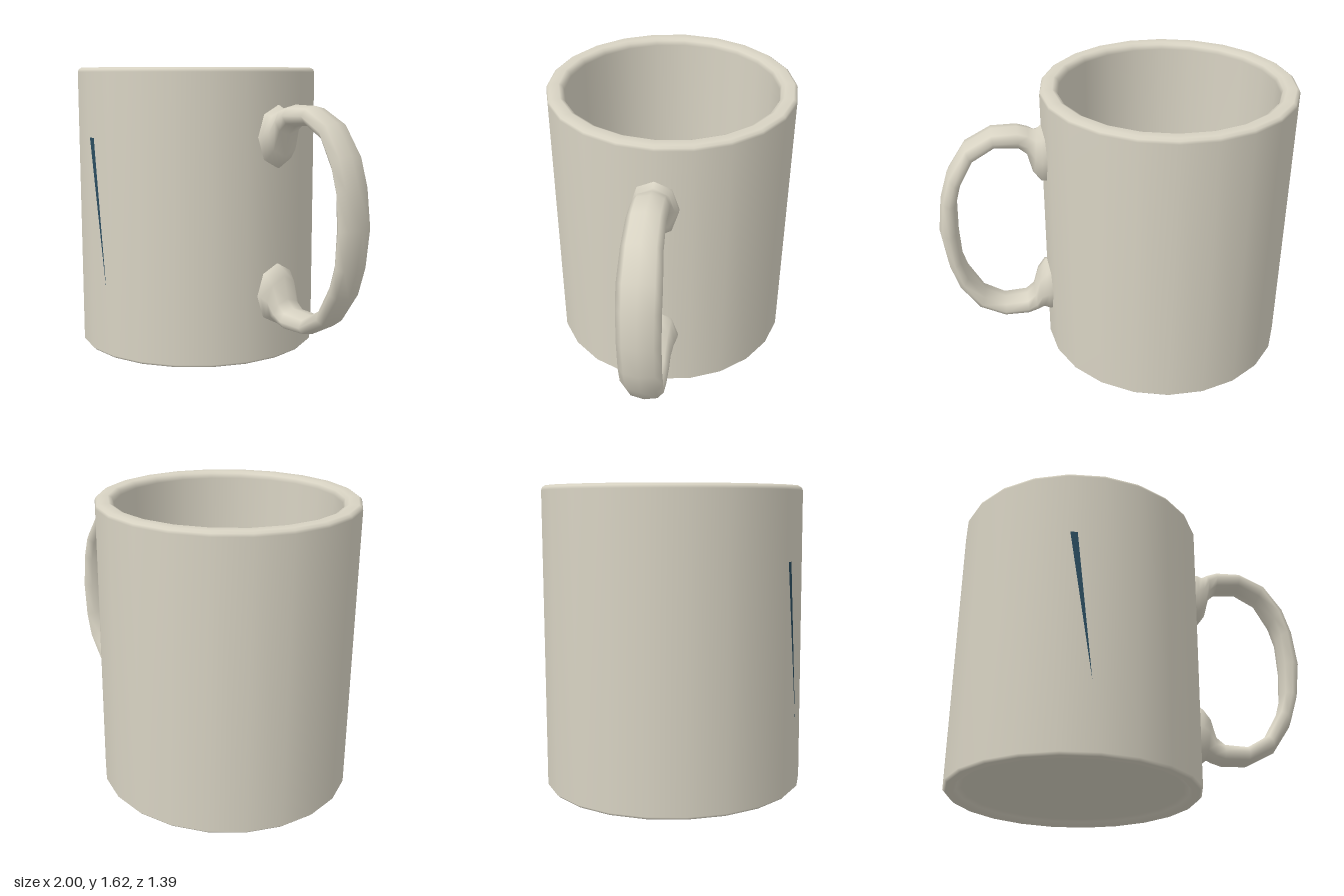
import * as THREE from 'three';

const SIDES = 22;
const CENTRE_X = -0.3;

// Sweeps an eight-sided oval ring through stations [outerX, outerY, innerX, innerY, halfWidth]
function sweepHandle(stations, sides = 8) {
  const positions = [];
  const index = [];
  stations.forEach(([ox, oy, ix, iy, w], i) => {
    for (let k = 0; k < sides; k++) {
      const a = (k / sides) * Math.PI * 2;
      const c = Math.cos(a) / 2;
      positions.push((ox + ix) / 2 + c * (ox - ix), (oy + iy) / 2 + c * (oy - iy), Math.sin(a) * w);
      if (i === stations.length - 1) continue;
      const p = i * sides + k;
      const q = i * sides + ((k + 1) % sides);
      index.push(p, q, p + sides, q, q + sides, p + sides);
    }
  });
  const geometry = new THREE.BufferGeometry();
  geometry.setAttribute('position', new THREE.Float32BufferAttribute(positions, 3));
  geometry.setIndex(index);
  geometry.computeVertexNormals();
  return geometry;
}

export function createModel() {
  const ceramic = new THREE.MeshStandardMaterial({ color: 0xd8d3c3 });
  ceramic.name = 'cream ceramic';
  const paint = new THREE.MeshStandardMaterial({ color: 0x2a4c5f });
  paint.name = 'dark blue paint';

  const model = new THREE.Group();
  model.name = 'mug';
  const add = (name, geometry, material) => {
    const mesh = new THREE.Mesh(geometry, material);
    mesh.name = name;
    model.add(mesh);
    return mesh;
  };

  // Hollow body: recessed underside, outer wall, rounded rim, inner wall, floor
  const profile = [
    [0, 0.03], [0.6, 0.03], [0.63, 0.02], [0.645, 0], [0.685, 0], [0.7, 0.015],
    [0.7, 1.59], [0.695, 1.605], [0.68, 1.615], [0.63, 1.615], [0.61, 1.605], [0.6, 1.58],
    [0.6, 0.14], [0.585, 0.11], [0.56, 0.1], [0, 0.1],
  ].map(([r, y]) => new THREE.Vector2(r, y));
  const body = add('body', new THREE.LatheGeometry(profile, SIDES, Math.PI / 2), ceramic);
  body.position.x = CENTRE_X;

  // Handle: flared root to the middle of the grip, then mirrored downwards
  const upper = [
    [0.36, 1.42, 0.36, 1.07, 0.13],
    [0.405, 1.415, 0.41, 1.075, 0.13],
    [0.43, 1.395, 0.455, 1.14, 0.115],
    [0.47, 1.405, 0.485, 1.26, 0.1],
    [0.53, 1.42, 0.53, 1.305, 0.1],
    [0.67, 1.417, 0.66, 1.315, 0.1],
    [0.82, 1.337, 0.775, 1.246, 0.105],
    [0.925, 1.176, 0.855, 1.1, 0.115],
    [0.973, 1.02, 0.885, 0.99, 0.115],
  ];
  const middle = [1, 0.81, 0.892, 0.81, 0.115];
  const lower = upper.map(([ox, oy, ix, iy, w]) => [ox, 1.62 - oy, ix, 1.62 - iy, w]).reverse();
  add('handle', sweepHandle([...upper, middle, ...lower]), ceramic);

  // Painted tapering sliver on the flat front facet
  const sliver = new THREE.Shape([
    new THREE.Vector2(-0.382, 1.23), new THREE.Vector2(-0.25, 0.38), new THREE.Vector2(-0.343, 1.23),
  ]);
  const stripe = add('paintedStripe', new THREE.ShapeGeometry(sliver), paint);
  stripe.position.z = 0.7 * Math.cos(Math.PI / SIDES) + 0.003;

  return model;
}
